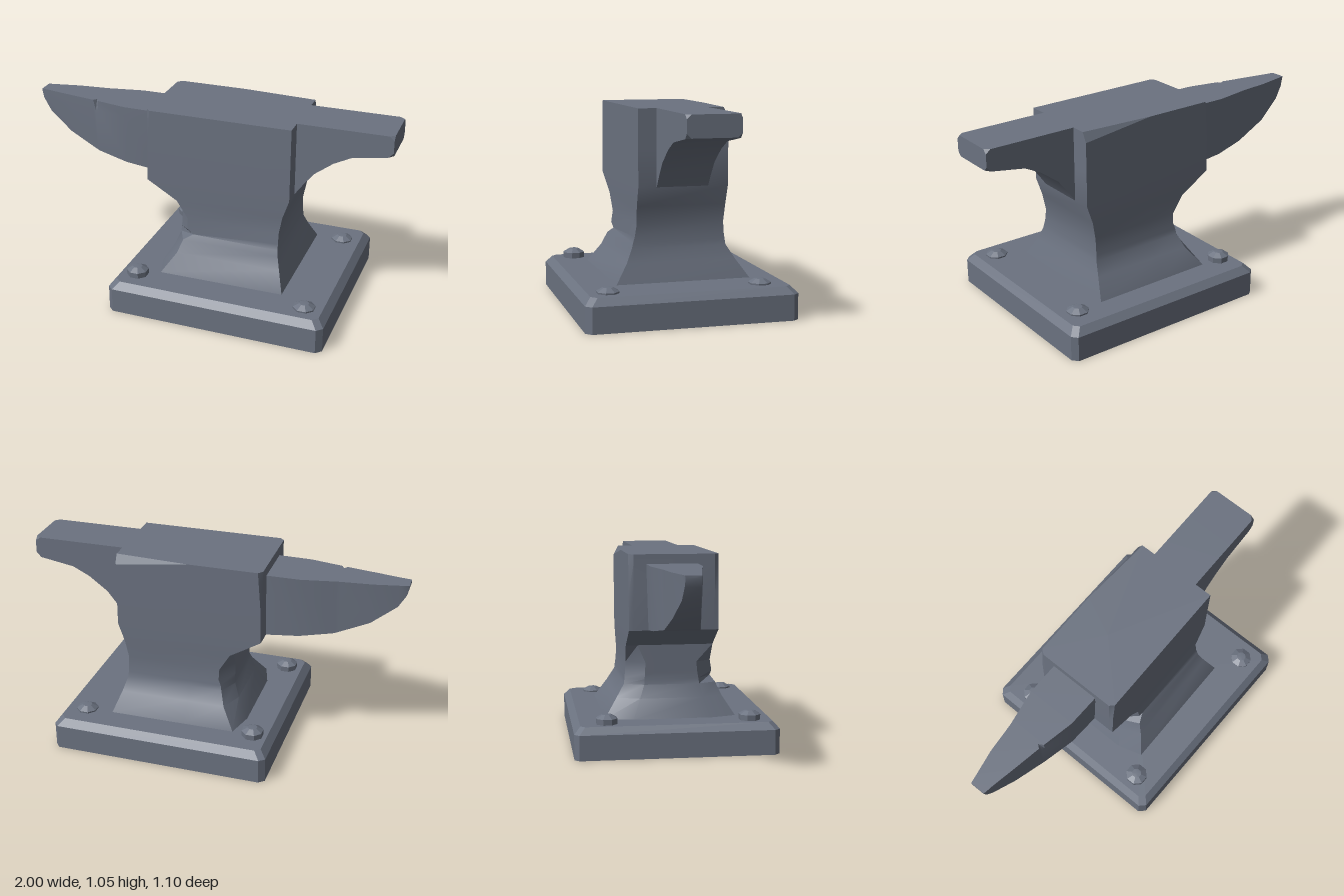
import * as THREE from 'three';
import { toCreasedNormals } from 'three/addons/utils/BufferGeometryUtils.js';

// Skin a stack of matching rings; optional fan caps at both ends
function loft(rings, capStart = true, capEnd = true) {
  const n = rings[0].length, pos = [], idx = [];
  rings.forEach(r => r.forEach(p => pos.push(...p)));
  for (let i = 0; i < rings.length - 1; i++) {
    for (let j = 0; j < n; j++) {
      const a = i * n + j, b = i * n + (j + 1) % n;
      idx.push(a, b, b + n, a, b + n, a + n);
    }
  }
  const cap = (start, flip) => {
    const c = [0, 1, 2].map(k => rings[start].reduce((s, p) => s + p[k], 0) / n);
    const ci = pos.length / 3;
    pos.push(...c);
    for (let j = 0; j < n; j++) {
      const a = start * n + j, b = start * n + (j + 1) % n;
      if (flip) idx.push(ci, b, a); else idx.push(ci, a, b);
    }
  };
  if (capStart) cap(0, true);
  if (capEnd) cap(rings.length - 1, false);
  const g = new THREE.BufferGeometry();
  g.setAttribute('position', new THREE.Float32BufferAttribute(pos, 3));
  g.setIndex(idx);
  return toCreasedNormals(g, 0.45);
}

export function createModel() {
  const model = new THREE.Group();
  model.name = 'anvil';
  const steel = new THREE.MeshStandardMaterial({ color: 0x6b7280, side: THREE.DoubleSide });
  steel.name = 'grey steel';
  const add = (name, geometry) => {
    const m = new THREE.Mesh(geometry, steel);
    m.name = name;
    model.add(m);
    return m;
  };

  // Base plate: slightly skewed, clipped corners, bevelled top, hollow below
  const outline = [
    [0.755, 0.545], [0.785, 0.515], [0.79, -0.51], [0.765, -0.54],
    [-0.36, -0.55], [-0.39, -0.525], [-0.4, 0.5], [-0.37, 0.53],
  ];
  const plateRing = (y, inset) => outline.map(([x, z]) => [
    0.195 + (x - 0.195) * (1 - inset / 0.595), y, z * (1 - inset / 0.55),
  ]);
  add('basePlate', loft([plateRing(0, 0), plateRing(0.133, 0), plateRing(0.17, 0.034)], false, true));

  // Bolts: eight-sided heads with a shallow peak
  const bolts = [[-0.28, -0.375, 0.222], [-0.28, 0.385, 0.222], [0.655, -0.375, 0.2], [0.655, 0.41, 0.2]];
  for (const [x, z, top] of bolts) {
    const profile = [[0, 0.155], [0.057, 0.155], [0.059, top - 0.022], [0.026, top - 0.003], [0, top]];
    const g = new THREE.LatheGeometry(profile.map(p => new THREE.Vector2(...p)), 8);
    g.rotateY(Math.PI / 8);
    add('bolt', toCreasedNormals(g, 0.3)).position.set(x, 0, z);
  }

  // Body: flared foot, narrow waist and square block
  // y, left corner x, left middle x, right x, front z, back z, middle spread, corner dent, worn back edge
  const sections = [
    [0.15, -0.18, -0.215, 0.515, 0.335, -0.38, 0.6, 0, 0],
    [0.17, -0.17, -0.21, 0.51, 0.33, -0.375, 0.6, 0, 0],
    [0.27, -0.10, -0.15, 0.475, 0.268, -0.305, 0.6, 0, 0],
    [0.34, -0.075, -0.122, 0.455, 0.237, -0.262, 0.6, 0, 0],
    [0.37, -0.07, -0.12, 0.452, 0.229, -0.258, 0.6, 0.045, 0],
    [0.40, -0.057, -0.12, 0.45, 0.22, -0.254, 0.6, 0, 0],
    [0.46, -0.06, -0.12, 0.45, 0.21, -0.25, 0.6, 0, 0],
    [0.555, -0.118, -0.12, 0.468, 0.214, -0.255, 0.75, 0, 0],
    [0.655, -0.283, -0.285, 0.502, 0.215, -0.256, 0.9, 0, 0],
    [0.85, -0.28, -0.285, 0.502, 0.215, -0.256, 0.9, 0, 0],
    [1.0, -0.268, -0.285, 0.502, 0.215, -0.256, 0.9, 0, 0],
    [1.05, -0.264, -0.285, 0.502, 0.215, -0.256, 0.9, 0, 0.026],
  ];
  add('body', loft(sections.map(([y, xc, xm, xr, zf, zb, k, dent, worn]) => [
    [xr, y, zf], [xr, y, zb + worn], [0.1, y, zb], [xc, y, zb],
    [xm, y, zb * k], [xm, y, zf * k], [xc + dent, y, zf - dent * 0.3],
  ])));

  // Horn: flat top, curved belly, small nick on the front edge
  // x, belly y, back z, front z, nick depth
  const horn = [
    [-1, 0.985, -0.08, 0, 0],
    [-0.99, 0.945, -0.083, 0.003, 0],
    [-0.95, 0.88, -0.09, 0.008, 0],
    [-0.82, 0.782, -0.115, 0.032, 0],
    [-0.66, 0.712, -0.13, 0.06, 0],
    [-0.645, 0.706, -0.132, 0.063, 0.022],
    [-0.63, 0.702, -0.135, 0.066, 0],
    [-0.46, 0.675, -0.165, 0.1, 0],
    [-0.27, 0.655, -0.165, 0.105, 0],
  ];
  add('horn', loft(horn.map(([x, y, zb, zf, nick]) => {
    const mid = (zb + zf) / 2, s = 0.92;
    return [
      [x, y, mid + (zb - mid) * s], [x, 1, zb], [x, 1, zf - nick],
      [x, Math.max(0.945, y + 0.005), zf], [x, y, mid + (zf - mid) * s],
    ];
  })));

  // Heel: arched underside, nipped corners at the tip
  // x, underside y, corner cut
  const heel = [
    [0.47, 0.6, 0], [0.502, 0.655, 0], [0.545, 0.715, 0], [0.6, 0.785, 0], [0.7, 0.86, 0],
    [0.79, 0.905, 0], [0.975, 0.936, 0], [1, 0.94, 0.022],
  ];
  const zb = -0.15, zf = 0.12, top = 1.05;
  add('heel', loft(heel.map(([x, y, c]) => [
    [x, y, zb + c], [x, y + c, zb], [x, top - c, zb], [x, top, zb + c],
    [x, top, zf - c], [x, top - c, zf], [x, y + c, zf], [x, y, zf - c],
  ])));

  return model;
}
